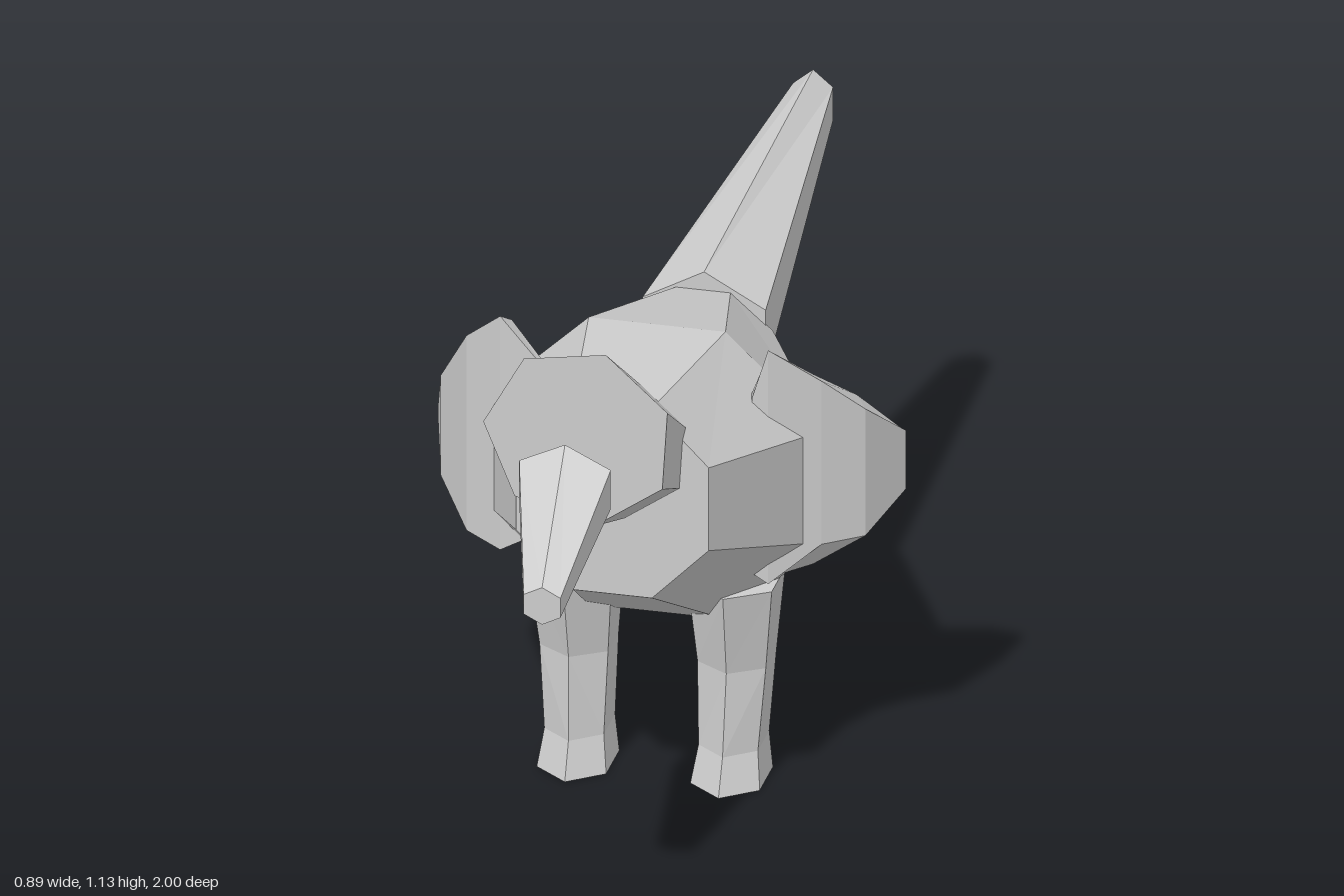
import * as THREE from 'three';

// Closed flat-sided solid through rings of equal point count
function loft(rings) {
  const pos = [];
  const tri = (a, b, c) => pos.push(...a, ...b, ...c);
  const n = rings[0].length;
  for (let r = 0; r < rings.length - 1; r++) {
    for (let i = 0; i < n; i++) {
      const j = (i + 1) % n, a = rings[r], b = rings[r + 1];
      tri(a[i], a[j], b[j]);
      tri(a[i], b[j], b[i]);
    }
  }
  const first = rings[0], last = rings[rings.length - 1];
  for (let i = 1; i < n - 1; i++) {
    tri(first[0], first[i + 1], first[i]);
    tri(last[0], last[i], last[i + 1]);
  }
  // Turn the faces outward when the enclosed volume is negative
  let volume = 0;
  const [a, b, c] = [new THREE.Vector3(), new THREE.Vector3(), new THREE.Vector3()];
  for (let i = 0; i < pos.length; i += 9) {
    a.fromArray(pos, i); b.fromArray(pos, i + 3); c.fromArray(pos, i + 6);
    volume += a.dot(b.cross(c));
  }
  if (volume < 0) {
    for (let i = 0; i < pos.length; i += 9) {
      for (let k = 0; k < 3; k++) {
        [pos[i + 3 + k], pos[i + 6 + k]] = [pos[i + 6 + k], pos[i + 3 + k]];
      }
    }
  }
  const g = new THREE.BufferGeometry();
  g.setAttribute('position', new THREE.Float32BufferAttribute(pos, 3));
  g.computeVertexNormals();
  return g;
}

// Eight-sided body section: half widths and the four heights
const octagon = (z, wEnd, wSide, y0, y1, y2, y3) => [
  [wEnd, y0, z], [wSide, y1, z], [wSide, y2, z], [wEnd, y3, z],
  [-wEnd, y3, z], [-wSide, y2, z], [-wSide, y1, z], [-wEnd, y0, z]];

// Upright six-sided section with a point at top and bottom
const hexagon = (z, cx, cy, w, h, side) => [
  [cx, cy + h, z], [cx + w, cy + side, z], [cx + w, cy - side, z],
  [cx, cy - h, z], [cx - w, cy - side, z], [cx - w, cy + side, z]];

// Seven-sided neck section
const heptagon = (z, cx, cy, r) => Array.from({ length: 7 }, (_, i) => {
  const t = 1.285 + (i * Math.PI * 2) / 7;
  return [cx + r * Math.cos(t), cy + r * Math.sin(t), z];
});

// Flat-lying leg section with a point at front and back
const legRing = (y, x0, x1, zBack, zFront) => {
  const m = (x0 + x1) / 2, d = (zFront - zBack) / 4;
  return [[m, y, zFront], [x1, y, zFront - d], [x1, y, zBack + d],
    [m, y, zBack], [x0, y, zBack + d], [x0, y, zFront - d]];
};

// Wing column: front edge then back edge, each with a low and a high point
const wingColumn = ([x, z, lo, hi, bx, bz, blo, bhi]) => [
  [x, lo, z], [x, hi, z], [bx, bhi, bz], [bx, blo, bz]];

export function createModel() {
  const group = new THREE.Group();
  const grey = new THREE.MeshStandardMaterial({ color: 0xcccccc, flatShading: true });
  grey.name = 'grey';
  const add = (name, rings) => {
    const mesh = new THREE.Mesh(loft(rings), grey);
    mesh.name = name;
    group.add(mesh);
    return mesh;
  };

  add('body', [
    octagon(0.375, 0.075, 0.183, 0.51, 0.62, 0.79, 0.90),
    octagon(0.03, 0.13, 0.32, 0.31, 0.49, 0.72, 0.90),
    octagon(-0.335, 0.05, 0.13, 0.55, 0.61, 0.73, 0.80)]);

  add('neckAndHead', [
    heptagon(0.2, -0.005, 0.72, 0.127),
    heptagon(0.635, 0, 0.955, 0.182)]);

  add('beak', [
    hexagon(0.77, 0.007, 0.922, 0.087, 0.082, 0.04),
    hexagon(1.0, 0.02, 0.783, 0.035, 0.038, 0.02)]);

  add('tail', [
    hexagon(-0.325, 0.002, 0.71, 0.117, 0.13, 0.065),
    hexagon(-1.0, 0.043, 0.875, 0.038, 0.066, 0.034)]);

  // Legs, with a slightly flared foot
  const leg = [
    legRing(0, 0.08, 0.212, -0.055, 0.15),
    legRing(0.07, 0.09, 0.203, -0.055, 0.12),
    legRing(0.235, 0.085, 0.215, -0.06, 0.105),
    legRing(0.405, 0.072, 0.232, -0.07, 0.14)];
  for (const s of [1, -1]) {
    add(s > 0 ? 'leftLeg' : 'rightLeg',
      leg.map((ring) => ring.map(([x, y, z]) => [s * x, y, z])));
  }

  // Cupped wings, each an uneven low-poly disc sunk into the flank
  add('leftWing', [
    [0.205, 0.13, 0.46, 0.82, 0.2, 0.115, 0.46, 0.82],
    [0.235, 0.127, 0.44, 0.92, 0.23, 0.1, 0.44, 0.9],
    [0.325, 0.08, 0.51, 0.845, 0.3, 0.045, 0.45, 0.84],
    [0.395, 0.025, 0.51, 0.77, 0.365, -0.03, 0.49, 0.77],
    [0.445, -0.085, 0.56, 0.68, 0.435, -0.092, 0.56, 0.68]].map(wingColumn));
  add('rightWing', [
    [-0.19, 0.13, 0.5, 0.835, -0.19, 0.115, 0.5, 0.835],
    [-0.28, 0.105, 0.44, 0.92, -0.265, 0.075, 0.46, 0.9],
    [-0.355, 0.06, 0.45, 0.85, -0.33, 0.01, 0.46, 0.84],
    [-0.425, -0.025, 0.515, 0.72, -0.395, -0.06, 0.515, 0.72],
    [-0.445, -0.085, 0.605, 0.625, -0.44, -0.092, 0.605, 0.625]].map(wingColumn));

  return group;
}
